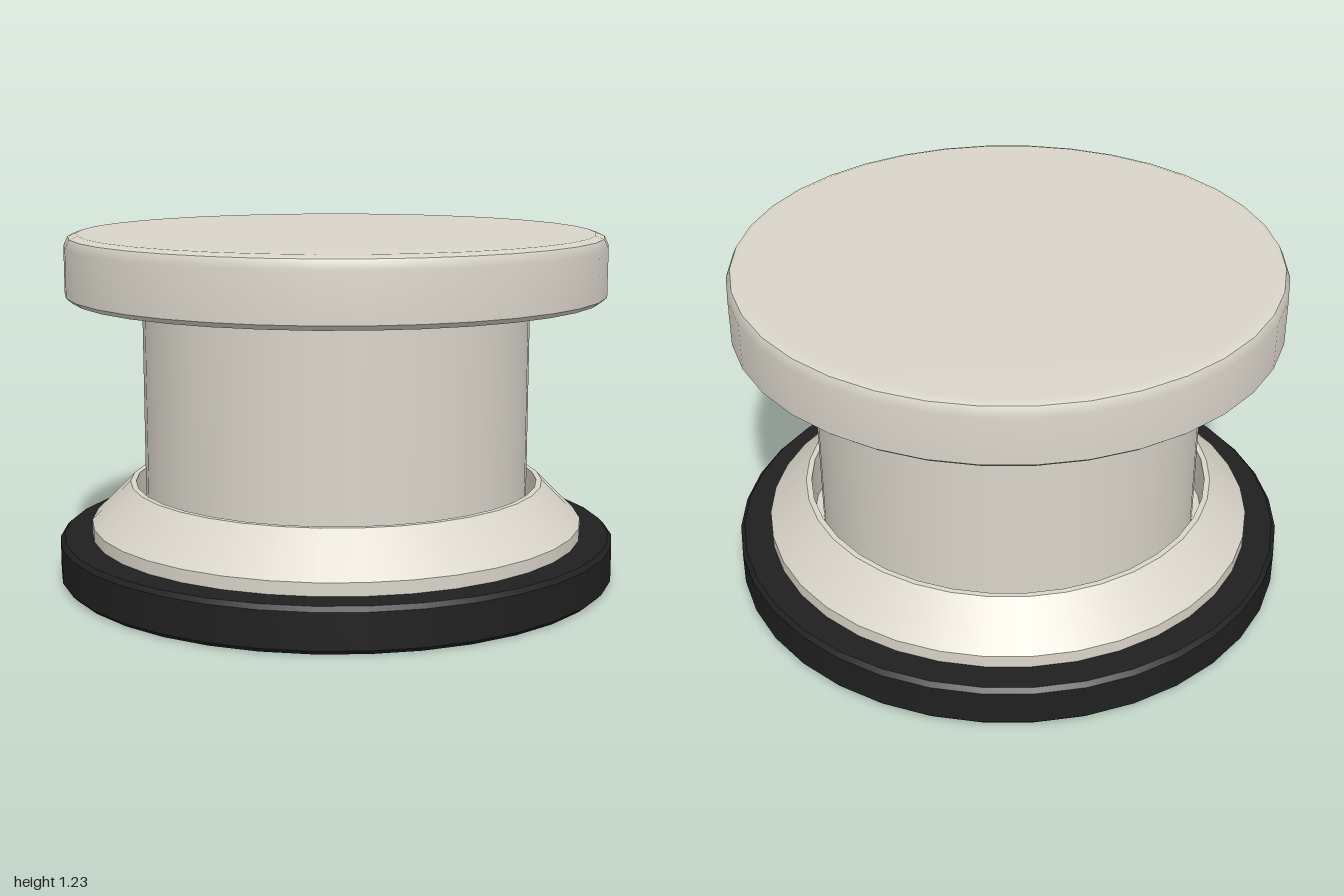
import * as THREE from 'three';
import { mergeGeometries } from 'three/addons/utils/BufferGeometryUtils.js';

const SIDES = 36;

// Each strip is a smooth [radius, y] profile; edges between strips stay sharp.
function turned(name, material, strips) {
  const parts = strips.map((s) =>
    new THREE.LatheGeometry(s.map(([r, y]) => new THREE.Vector2(r, y)), SIDES));
  const mesh = new THREE.Mesh(mergeGeometries(parts), material);
  mesh.name = name;
  return mesh;
}

export function createModel() {
  const ivory = new THREE.MeshStandardMaterial({ color: 0xdad5ca });
  ivory.name = 'ivory';
  const black = new THREE.MeshStandardMaterial({ color: 0x202020 });
  black.name = 'black';

  const model = new THREE.Group();
  model.name = 'knob';
  model.add(
    // Black foot disc with small bevels
    turned('basePad', black, [
      [[0, 0], [0.985, 0]],
      [[0.985, 0], [1, 0.015]],
      [[1, 0.015], [1, 0.14]],
      [[1, 0.14], [0.985, 0.155]],
      [[0.985, 0.155], [0, 0.155]],
    ]),
    // Sloping collar, open in the middle with a narrow lip
    turned('collar', ivory, [
      [[0.885, 0.155], [0.885, 0.2]],
      [[0.885, 0.2], [0.745, 0.34]],
      [[0.745, 0.34], [0.725, 0.34]],
      [[0.725, 0.34], [0.725, 0.17]],
      [[0.725, 0.17], [0.6, 0.17]],
    ]),
    // Column with a bevelled top edge
    turned('column', ivory, [
      [[0.69, 0.16], [0.69, 0.98]],
      [[0.69, 0.98], [0.675, 1.006]],
    ]),
    // Wide cap, top shaded softly into its rounded rim
    turned('cap', ivory, [
      [[0, 1.005], [0.94, 1.005]],
      [[0.94, 1.005], [0.96, 1.022]],
      [[0.96, 1.022], [0.96, 1.19], [0.945, 1.222]],
      [[0.945, 1.222], [0.915, 1.233], [0, 1.233]],
    ]),
  );
  return model;
}
